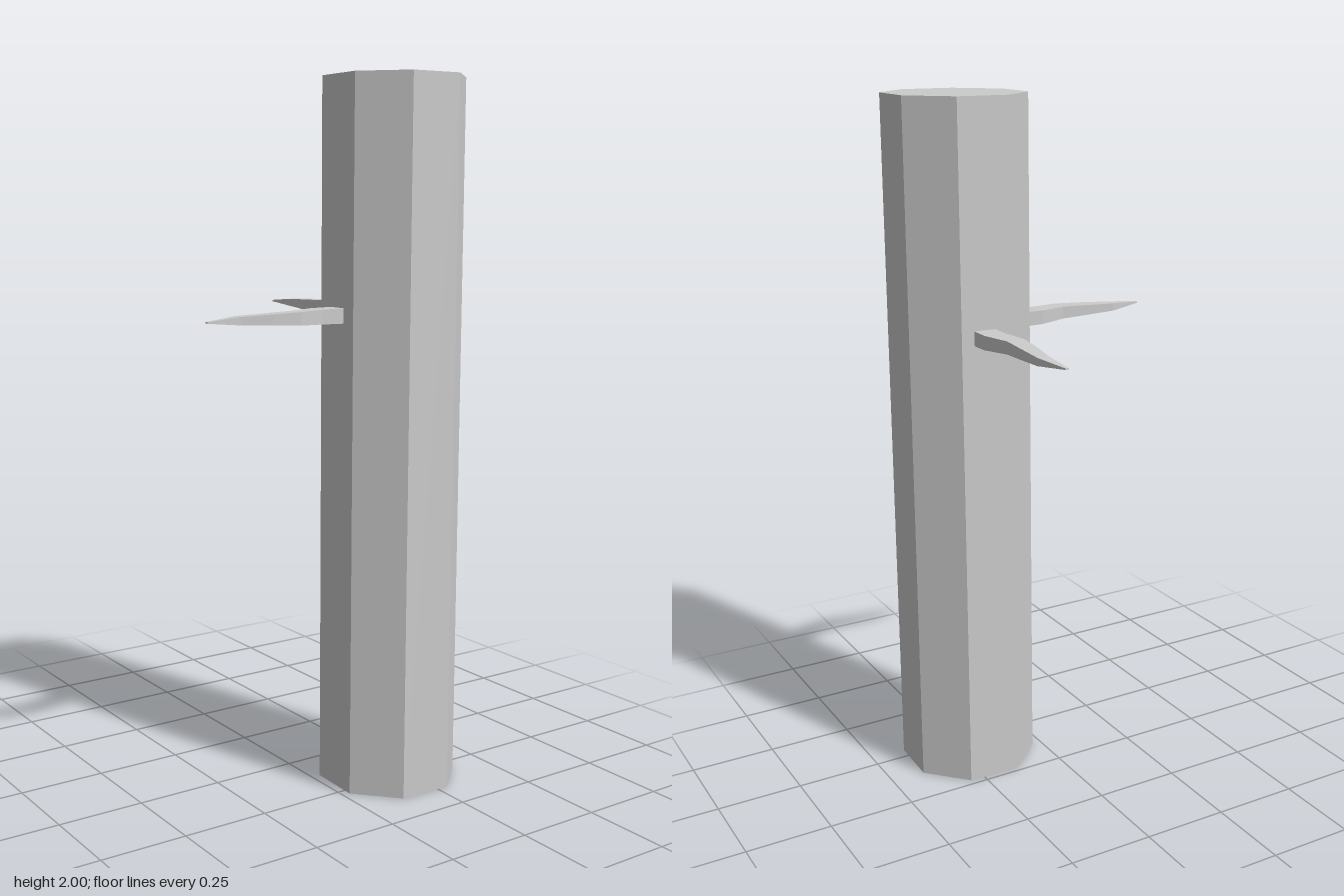
import * as THREE from 'three';

const material = new THREE.MeshStandardMaterial({ color: 0xcccccc, flatShading: true });

// Branch cross-sections: x, zMin, zMax, half height
const SECTIONS = [
  [0.03, 0.167, 0.23, 0.021],
  [-0.045, 0.167, 0.23, 0.02],
  [-0.126, 0.193, 0.246, 0.018],
  [-0.205, 0.19, 0.237, 0.015],
  [-0.3, 0.187, 0.221, 0.011],
  [-0.4, 0.211, 0.221, 0.002],
];
const BRANCH_Y = 1.356;

// Lofts the rectangular sections into a closed, tapering spike
function branchGeometry() {
  const rings = SECTIONS.map(([x, z0, z1, h]) => [
    [x, BRANCH_Y + h, z0],
    [x, BRANCH_Y + h, z1],
    [x, BRANCH_Y - h, z1],
    [x, BRANCH_Y - h, z0],
  ]);
  const positions = [];
  const quad = (a, b, c, d) => positions.push(...a, ...b, ...c, ...a, ...c, ...d);
  for (let i = 0; i < rings.length - 1; i++) {
    for (let j = 0; j < 4; j++) {
      const k = (j + 1) % 4;
      quad(rings[i][j], rings[i + 1][j], rings[i + 1][k], rings[i][k]);
    }
  }
  // End caps
  quad(...rings[0]);
  quad(...[...rings[rings.length - 1]].reverse());
  const geometry = new THREE.BufferGeometry();
  geometry.setAttribute('position', new THREE.Float32BufferAttribute(positions, 3));
  geometry.computeVertexNormals();
  return geometry;
}

export function createModel() {
  const model = new THREE.Group();
  model.name = 'post';

  // Eight-sided trunk, slightly turned
  const trunk = new THREE.Mesh(new THREE.CylinderGeometry(0.202, 0.202, 2, 8), material);
  trunk.name = 'trunk';
  trunk.position.set(0.211, 1, 0.204);
  trunk.rotation.y = THREE.MathUtils.degToRad(20.7);
  model.add(trunk);

  // Two matching branches at a right angle
  const geometry = branchGeometry();
  const sideBranch = new THREE.Mesh(geometry, material);
  sideBranch.name = 'sideBranch';
  const backBranch = new THREE.Mesh(geometry, material);
  backBranch.name = 'backBranch';
  backBranch.rotation.y = -Math.PI / 2;
  backBranch.position.set(0.423, 0, 0.006);
  model.add(sideBranch, backBranch);

  return model;
}
